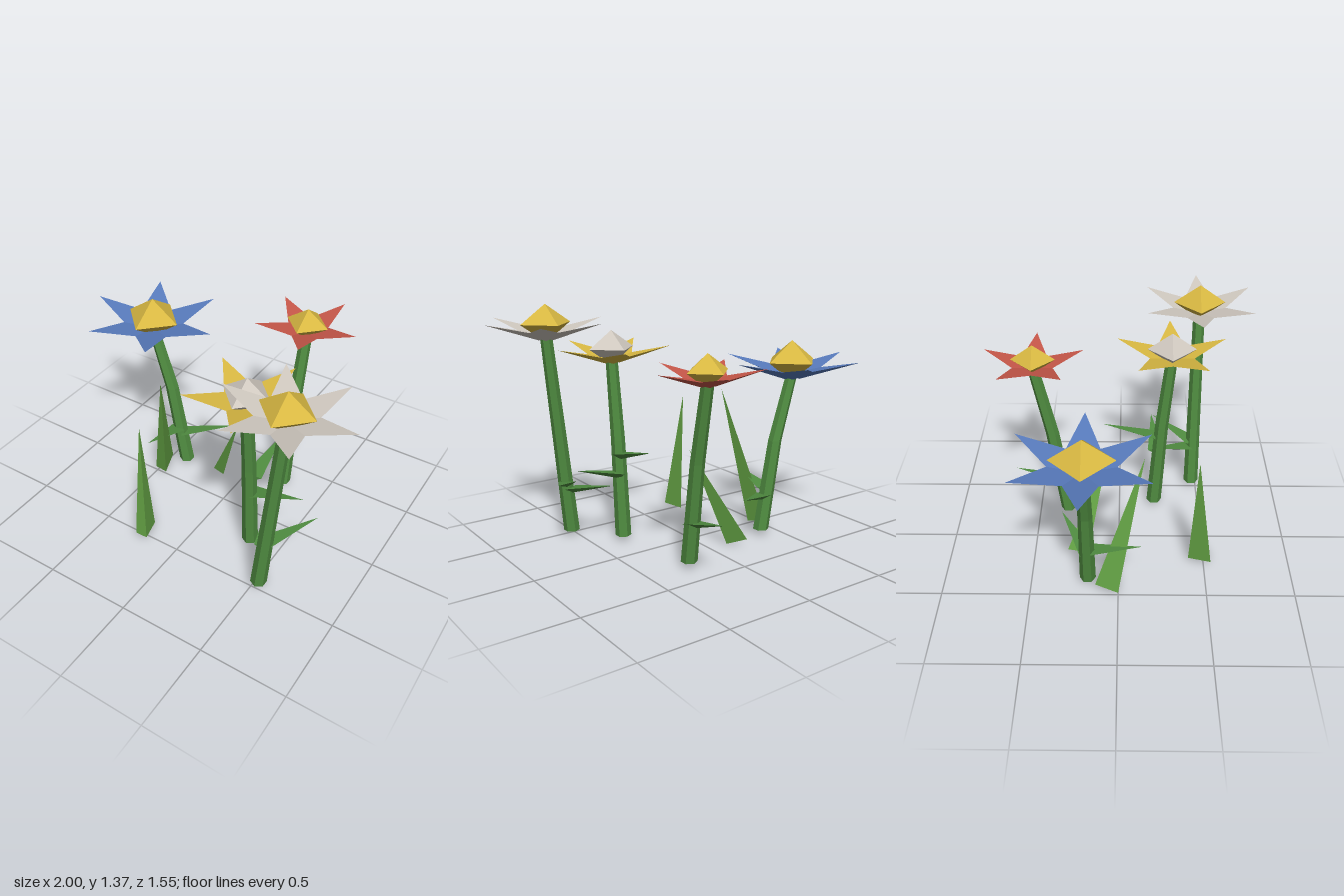
import * as THREE from 'three';
import { ConvexGeometry } from 'three/addons/geometries/ConvexGeometry.js';

const V = (x, y, z) => new THREE.Vector3(x, y, z);

function material(name, color) {
  const m = new THREE.MeshStandardMaterial({ color });
  m.name = name;
  return m;
}

function add(parent, geometry, mat, name) {
  const mesh = new THREE.Mesh(geometry, mat);
  mesh.name = name;
  parent.add(mesh);
  return mesh;
}

// Pointed blade: flat on top, keeled below, running from root to tip
function spike(root, tip, width, depth) {
  const dir = tip.clone().sub(root);
  const side = V(-dir.z, 0, dir.x).normalize().multiplyScalar(width / 2);
  return new ConvexGeometry([
    root.clone().add(side), root.clone().sub(side), root.clone().add(V(0, -depth, 0)), tip,
  ]);
}

// Tapered six-sided stem, bent once halfway up
function stemGeometry(base, mid, top, r0, r1) {
  let g = new THREE.CylinderGeometry(r1, r0, 1, 6, 2);
  const p = g.attributes.position;
  const path = [base, mid, top];
  for (let i = 0; i < p.count; i++) {
    const c = path[Math.round((p.getY(i) + 0.5) * 2)];
    p.setXYZ(i, c.x + p.getX(i), c.y, c.z + p.getZ(i));
  }
  g = g.toNonIndexed();
  g.computeVertexNormals();
  return g;
}

export function createModel() {
  const model = new THREE.Group();
  model.name = 'flowers';

  const green = material('stem green', 0x4f8b40);
  const grass = material('blade green', 0x629f43);
  const blue = material('petal blue', 0x587bbd);
  const red = material('petal red', 0xc45648);
  const yellow = material('yellow', 0xd8b842);
  const white = material('warm white', 0xcfc8bf);

  const flowers = [
    { name: 'blueFlower', petal: blue, core: yellow, n: 6, R: 0.4, top: V(-0.6, 1.14, -0.175),
      base: V(-0.39, 0.03, -0.175), mid: V(-0.485, 0.56, -0.175),
      leaves: [[V(-0.42, 0.24, -0.17), V(-0.13, 0.3, -0.33)], [V(-0.43, 0.28, -0.15), V(-0.46, 0.33, 0.13)]] },
    { name: 'redFlower', petal: red, core: yellow, n: 5, R: 0.3, top: V(0.25, 1.185, -0.49),
      base: V(0.24, 0.03, -0.32), mid: V(0.245, 0.6, -0.4),
      leaves: [[V(0.24, 0.255, -0.33), V(0.25, 0.33, -0.63)]] },
    { name: 'yellowFlower', petal: yellow, core: white, n: 5, R: 0.33, top: V(0.33, 1.22, 0.3),
      base: V(0.325, 0.03, 0.22), mid: V(0.327, 0.6, 0.255),
      leaves: [[V(0.34, 0.41, 0.225), V(0.635, 0.48, 0.2)], [V(0.335, 0.525, 0.22), V(0.34, 0.6, -0.1)]] },
    { name: 'whiteFlower', petal: white, core: yellow, n: 6, R: 0.355, top: V(0.645, 1.37, 0.47),
      base: V(0.53, 0.03, 0.47), mid: V(0.588, 0.62, 0.47),
      leaves: [[V(0.55, 0.335, 0.46), V(0.735, 0.41, 0.21)], [V(0.54, 0.3, 0.45), V(0.42, 0.36, 0.17)]] },
  ];

  for (const f of flowers) {
    const group = new THREE.Group();
    group.name = f.name;
    model.add(group);
    const { R, top } = f;

    // Stem ends inside the flower head
    const stemTop = V(top.x, top.y - 0.52 * R, top.z);
    add(group, stemGeometry(f.base, f.mid, stemTop, 0.046, 0.034), green, 'stem');
    f.leaves.forEach(([root, tip]) => add(group, spike(root, tip, 0.1, 0.035), green, 'stemLeaf'));

    // Ring of rising petals
    for (let i = 0; i < f.n; i++) {
      const a = (i / f.n) * Math.PI * 2;
      const at = (r, drop) => V(top.x + r * Math.cos(a), top.y - drop * R, top.z + r * Math.sin(a));
      add(group, spike(at(0.12 * R, 0.46), at(R, 0.26), 0.62 * R, 0.1 * R), f.petal, 'petal');
    }

    // Eight-faced flower centre
    const core = add(group, new THREE.OctahedronGeometry(1), f.core, 'flowerCentre');
    core.scale.set(0.425 * R, 0.3 * R, 0.425 * R);
    core.position.set(top.x, top.y - 0.3 * R, top.z);
  }

  // Tall grass blades: three base corners and a tip
  const blades = [
    [V(-0.26, 0.03, 0.54), V(-0.185, 0.03, 0.54), V(-0.22, 0.025, 0.41), V(-0.26, 0.75, 0.44)],
    [V(-0.51, 0.025, 0), V(-0.435, 0.015, 0), V(-0.47, 0.05, -0.13), V(-0.33, 0.835, 0.14)],
    [V(-0.185, 0.03, -0.18), V(-0.12, 0, -0.19), V(-0.18, 0.05, -0.3), V(0.058, 0.567, -0.07)],
  ];
  blades.forEach((pts) => add(model, new ConvexGeometry(pts), grass, 'grassBlade'));

  return model;
}
